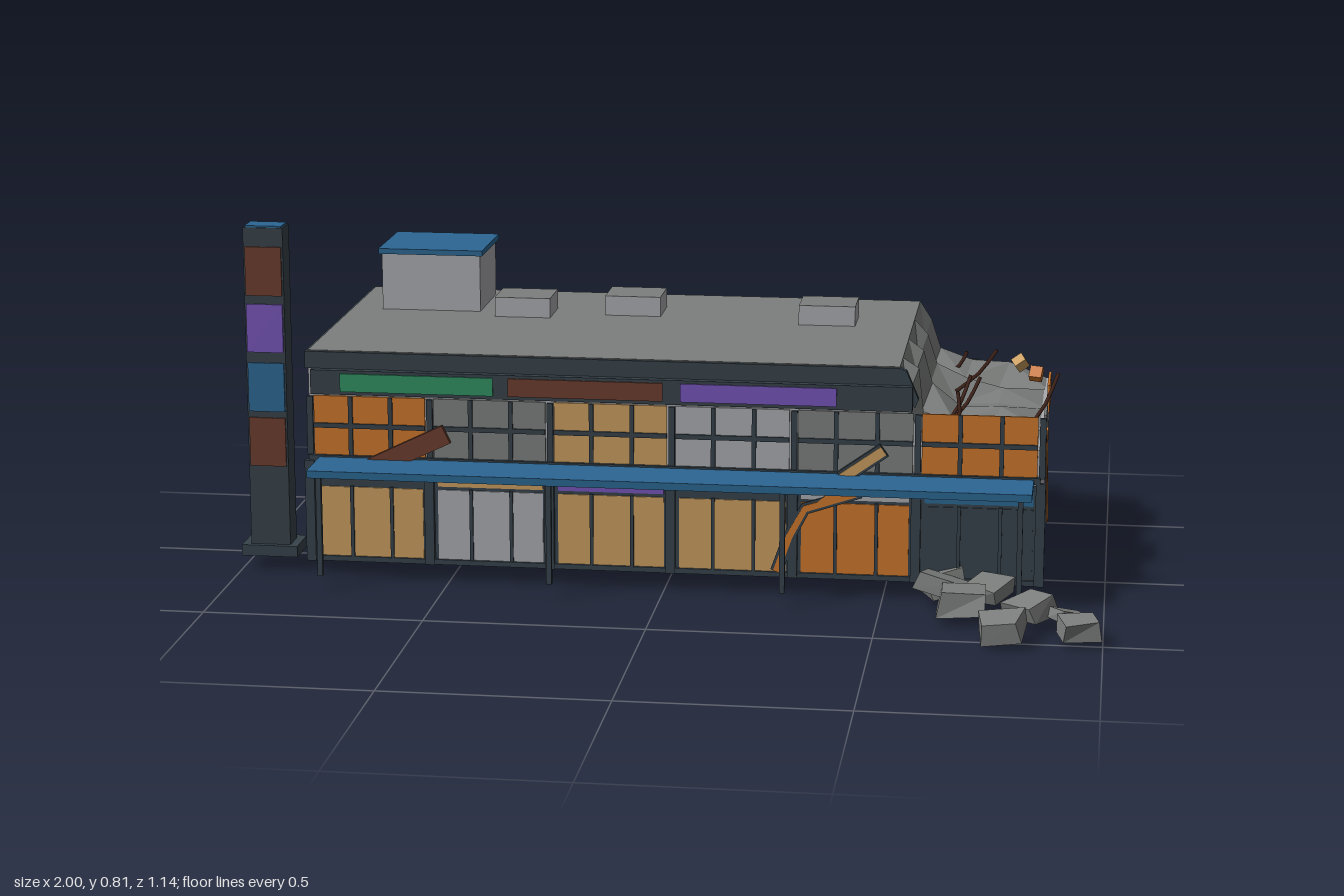
import * as THREE from 'three';

const mat = (name, color) => {
  const m = new THREE.MeshStandardMaterial({ color, side: THREE.DoubleSide });
  m.name = name;
  return m;
};

export function createModel() {
  const light = mat('light concrete', 0xa9aaae), grey = mat('grey concrete', 0x7c7f7d);
  const dark = mat('dark metal', 0x36424a), blue = mat('blue paint', 0x2b6692);
  const orange = mat('orange', 0xcc752a), tan = mat('tan', 0xc99d5e);
  const rust = mat('rust brown', 0x6b3c2d), purple = mat('purple', 0x7654b8);
  const green = mat('green', 0x2f8f62), iron = mat('rebar brown', 0x42241b);
  const model = new THREE.Group();

  const add = (name, geo, m) => {
    const mesh = new THREE.Mesh(geo, m);
    mesh.name = name;
    model.add(mesh);
    return mesh;
  };
  // Box from its min and max corners
  const box = (name, m, x0, x1, y0, y1, z0, z1) => {
    const b = add(name, new THREE.BoxGeometry(x1 - x0, y1 - y0, z1 - z0), m);
    b.position.set((x0 + x1) / 2, (y0 + y1) / 2, (z0 + z1) / 2);
    return b;
  };
  const L = -0.83, R = 0.85, B = -0.575, F = 0.155, E = 0.53, T = 0.01;

  // Shell: open underneath, lower at the collapsed end
  box('leftWall', light, L, L + T, 0.03, 0.5, B, F);
  box('rightWall', light, R - T, R, 0.03, 0.345, B, F);
  box('backWallLower', light, L, R, 0.03, 0.345, B, B + T);
  box('backWallUpper', light, L, E, 0.345, 0.5, B, B + T);
  box('frontWallLower', light, L, R, 0.03, 0.345, F - T, F);
  box('frontWallUpper', light, L, E + 0.02, 0.345, 0.44, F - T, F);
  box('roof', grey, L, E, 0.505, 0.528, B, F);
  box('backFascia', dark, L - 0.005, E, 0.487, 0.526, B - 0.006, B);
  box('leftFascia', dark, L - 0.006, L, 0.487, 0.526, B - 0.006, F + 0.008);
  box('frontFascia', dark, L - 0.005, E, 0.487, 0.526, F - 0.01, F + 0.008);
  box('signBand', dark, L + 0.01, 0.56, 0.43, 0.487, F - 0.01, F + 0.025);
  [[green, -0.75], [rust, -0.36], [purple, 0.035]].forEach(([m, x]) =>
    box('signPanel', m, x, x + 0.355, 0.438, 0.48, F + 0.025, F + 0.029));

  // Broken end of the front fascia
  const snap = new THREE.Shape([[E, 0.526], [0.545, 0.52], [0.573, 0.455], [0.565, 0.435], [0.54, 0.47], [E, 0.48]]
    .map(p => new THREE.Vector2(...p)));
  add('brokenFascia', new THREE.ExtrudeGeometry(snap, { depth: 0.018, bevelEnabled: false }), dark).position.z = F - 0.01;

  // Collapsed roof: loft of jagged cross-sections running front to back
  const cols = [[E, 0.528], [0.555, 0.475], [0.575, 0.395], [0.65, 0.365], [0.74, 0.36], [R, 0.342]];
  const rows = [0.155, 0.06, -0.04, -0.14, -0.26, -0.36, -0.46, -0.575];
  const jag = [0, 0.6, -0.8, 0.9, -0.4, 1, -0.7, 0.3];
  const pt = (i, j) => {
    const mid = i > 0 && i < 5 ? 1 : 0;
    const k = jag[(j * 3 + i * 2) % 8] * mid;
    return [cols[i][0] + k * 0.012, cols[i][1] + k * (i < 3 ? 0.03 : 0.022), rows[j]];
  };
  const tris = [];
  for (let j = 0; j < rows.length - 1; j++) for (let i = 0; i < cols.length - 1; i++) {
    const a = pt(i, j), b = pt(i + 1, j), c = pt(i + 1, j + 1), d = pt(i, j + 1);
    tris.push(...((i + j) % 2 ? [a, b, c, a, c, d] : [a, b, d, b, c, d]).flat());
  }
  const slab = new THREE.BufferGeometry();
  slab.setAttribute('position', new THREE.Float32BufferAttribute(tris, 3));
  slab.computeVertexNormals();
  add('collapsedRoof', slab, grey);

  // Front bays: shop panels, transoms and upper windows with mullions
  const upper = [orange, grey, tan, light, grey, orange];
  const lower = [tan, light, tan, tan, orange, dark];
  const transom = [dark, tan, purple, dark, light, blue];
  const w = 0.28;
  for (let i = 0; i < 6; i++) {
    const x = L + i * w;
    box('shopFrame', dark, x, x + w, 0.03, 0.262, F, F + 0.003);
    box('shopPanel', lower[i], x + 0.02, x + w - 0.015, 0.04, 0.207, F + 0.003, F + 0.006);
    box('transom', transom[i], x + 0.02, x + w - 0.015, 0.215, 0.258, F + 0.003, F + 0.006);
    box('upperWindow', upper[i], x + 0.012, x + w - 0.008, 0.28, 0.422, F, F + 0.005);
    box('windowRail', dark, x + 0.012, x + w - 0.008, 0.347, 0.358, F + 0.004, F + 0.01);
    for (let k = 1; k < 3; k++) {
      const m = x + 0.005 + k * w / 3;
      box('shopMullion', dark, m - 0.004, m + 0.004, 0.035, 0.21, F + 0.004, F + 0.011);
      box('windowMullion', dark, m - 0.005, m + 0.005, 0.28, 0.422, F + 0.004, F + 0.01);
    }
  }
  for (let i = 0; i <= 6; i++) {
    const x = L + i * w;
    box('pilaster', dark, x - 0.01, x + 0.012, 0.03, 0.27, F, F + 0.016);
    box('windowJamb', dark, x - 0.004, x + 0.01, 0.28, 0.42, F, F + 0.008);
  }
  box('baseRail', dark, L, R, 0.03, 0.042, F, F + 0.012);
  box('ledge', dark, L, R, 0.268, 0.283, F, F + 0.014);

  // Canopy on four posts
  box('canopy', blue, -0.805, 0.835, 0.262, 0.279, F, 0.3);
  for (let i = 0; i < 4; i++) {
    const x = -0.78 + i * 0.53;
    box('canopyPost', dark, x - 0.006, x + 0.006, 0.03, 0.262, 0.282, 0.294);
  }

  // Plates on the back and side walls
  [[dark, 0.51], [grey, -0.05], [orange, -0.61]].forEach(([m, x]) =>
    box('backPlate', m, x - 0.17, x + 0.17, 0.32, 0.386, B - 0.006, B));
  [[grey, -0.085], [orange, -0.39]].forEach(([m, z]) => {
    box('rightPlate', m, R, R + 0.006, 0.32, 0.386, z - 0.075, z + 0.075);
    box('leftPlate', orange, L - 0.006, L, 0.32, 0.386, z - 0.075, z + 0.075);
  });
  box('wallUnit', light, L - 0.04, L, 0.275, 0.315, -0.5, -0.44);

  // Roof house and vents
  box('roofHouse', light, -0.755, -0.515, 0.528, 0.665, -0.522, -0.313);
  box('roofHouseCap', blue, -0.762, -0.508, 0.665, 0.678, -0.53, -0.305);
  [[-0.403, -0.318], [-0.143, -0.368], [0.328, -0.318]].forEach(([x, z]) =>
    box('roofVent', light, x - 0.067, x + 0.067, 0.528, 0.575, z - 0.057, z + 0.057).material = grey === 0 ? grey : light);
  model.children.filter(c => c.name === 'roofVent').forEach(c => {
    // Vents keep light sides under a grey top
    c.material = [light, light, grey, light, light, light];
  });

  // Sign pylon
  box('pylonBase', dark, -1, -0.868, 0.03, 0.056, 0.05, 0.15);
  box('pylon', dark, -0.98, -0.887, 0.056, 0.806, 0.075, 0.137);
  box('pylonCap', blue, -0.976, -0.891, 0.806, 0.81, 0.078, 0.134);
  [[rust, 0.245, 0.36], [blue, 0.375, 0.49], [purple, 0.515, 0.628], [rust, 0.648, 0.762]].forEach(([m, a, b]) =>
    box('pylonPanel', m, -0.976, -0.891, a, b, 0.137, 0.141));

  // Cracks: flat zigzag ribbons, a wide dark one under a narrow orange one
  const ribbon = (pts, width, depth) => {
    const left = [], right = [];
    pts.forEach(([x, y], i) => {
      const a = pts[Math.max(i - 1, 0)], b = pts[Math.min(i + 1, pts.length - 1)];
      const l = Math.hypot(b[0] - a[0], b[1] - a[1]) * 2 / width;
      const nx = -(b[1] - a[1]) / l, ny = (b[0] - a[0]) / l;
      left.push(new THREE.Vector2(x + nx, y + ny));
      right.unshift(new THREE.Vector2(x - nx, y - ny));
    });
    return new THREE.ExtrudeGeometry(new THREE.Shape([...left, ...right]), { depth, bevelEnabled: false });
  };
  const crack = (pts, place) => {
    place(add('crackEdge', ribbon(pts, 0.028, 0.004), dark));
    place(add('crack', ribbon(pts, 0.015, 0.007), orange));
  };
  crack([[0.255, 0.045], [0.285, 0.13], [0.32, 0.195], [0.44, 0.235], [0.405, 0.265]], c => { c.position.z = F + 0.012; });
  crack([[0.1, 0.333], [0.12, 0.28], [0.155, 0.22], [0.295, 0.105], [0.315, 0.055]], c => {
    c.rotation.y = Math.PI / 2;
    c.position.x = R + 0.002;
  });

  // Loose boards leaning on the upper windows
  const board = (m, x, y, len, h, a) => {
    const b = add('looseBoard', new THREE.BoxGeometry(len, h, 0.012), m);
    b.position.set(x, y, F + 0.02);
    b.rotation.z = a;
  };
  board(rust, -0.6, 0.298, 0.21, 0.045, 0.45);
  board(dark, 0.45, 0.305, 0.118, 0.034, 0.62);
  board(tan, 0.451, 0.306, 0.114, 0.022, 0.62);
  model.children[model.children.length - 1].position.z += 0.003;

  // Bent rebar
  [[[0.6, 0.36, -0.51], [0.65, 0.42, -0.505]], [[0.635, 0.37, -0.297], [0.73, 0.475, -0.287]],
    [[0.63, 0.35, -0.045], [0.7, 0.455, -0.083]], [[0.65, 0.35, 0.012], [0.653, 0.44, 0.006]],
    [[0.81, 0.35, 0], [0.88, 0.48, -0.037]], [[0.62, 0.35, 0.005], [0.68, 0.47, -0.035]]].forEach(([a, b]) => {
    const p = new THREE.Vector3(...a), q = new THREE.Vector3(...b);
    const mid = p.clone().lerp(q, 0.5).add(new THREE.Vector3(0.007, -0.004, 0.004));
    add('rebar', new THREE.TubeGeometry(new THREE.CatmullRomCurve3([p, mid, q]), 4, 0.0045, 5), iron);
  });

  // Debris on the slab and rubble on the ground
  [[0.78, 0.4, -0.49, tan], [0.82, 0.385, -0.44, orange]].forEach(([x, y, z, m], i) => {
    const d = add('debris', new THREE.BoxGeometry(0.03, 0.025, 0.03), m);
    d.position.set(x, y, z);
    d.rotation.set(0.4, i + 0.4, 0.5);
  });
  [[0.63, 0.035, 0.14, 1.1], [0.69, 0.042, 0.34, 1.2], [0.64, 0.045, 0.24, 1.1], [0.74, 0.035, 0.21, 0.9],
    [0.84, 0.042, 0.375, 1], [0.925, 0.035, 0.405, 0.7], [0.95, 0.035, 0.485, 0.9], [0.78, 0.038, 0.51, 1]]
    .forEach(([x, y, z, s], i) => {
      const g = new THREE.BoxGeometry(0.09 * s, 0.042 * s, 0.088 * s).toNonIndexed();
      const p = g.attributes.position;
      // Skew each corner by a rule so the blocks look chipped
      for (let k = 0; k < p.count; k++) {
        const sx = Math.sign(p.getX(k)), sy = Math.sign(p.getY(k)), sz = Math.sign(p.getZ(k));
        const n = Math.sin(sx * 3.1 + sy * 5.7 + sz * 7.3 + i * 2.3);
        p.setXYZ(k, p.getX(k) * (1 + 0.2 * n), p.getY(k) * (1 - 0.25 * n), p.getZ(k) * (1 + 0.15 * n * sy));
      }
      g.computeVertexNormals();
      const r = add('rubble', g, grey);
      r.position.set(x, y, z);
      r.rotation.set(0.22 * Math.sin(i * 2), i * 1.3 + 0.3, 0.25 * Math.cos(i * 3));
    });
  return model;
}
